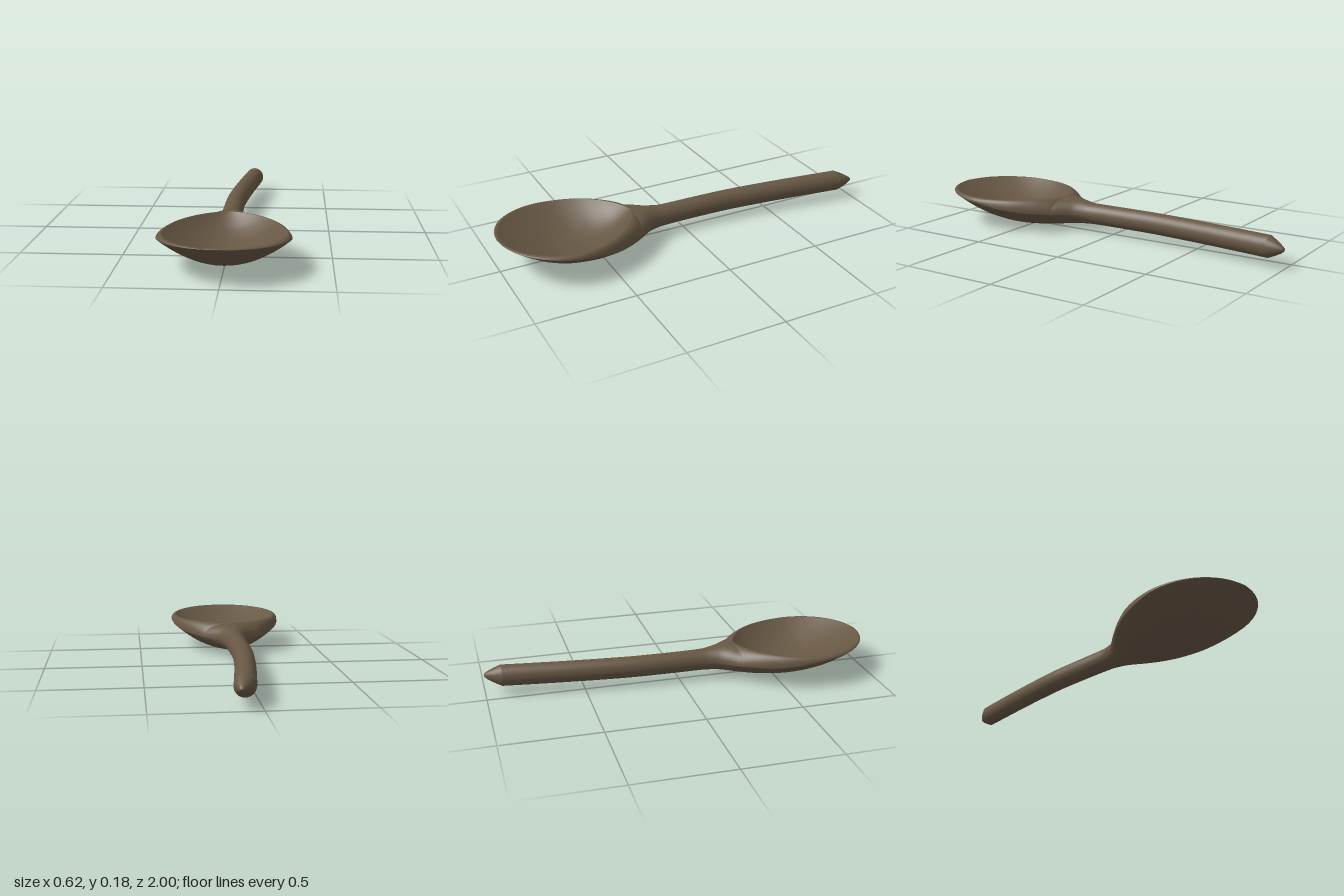
import * as THREE from 'three';
import { mergeVertices } from 'three/addons/utils/BufferGeometryUtils.js';

// Smooth interpolation without overshoot through [z, value] keys.
function ramp(keys) {
  const n = keys.length;
  const slope = (i) => (keys[i + 1][1] - keys[i][1]) / (keys[i + 1][0] - keys[i][0]);
  const tangent = (i) => {
    if (i === 0) return slope(0);
    if (i === n - 1) return slope(n - 2);
    const a = slope(i - 1), b = slope(i);
    return a * b <= 0 ? 0 : (2 * a * b) / (a + b);
  };
  return (z) => {
    if (z <= keys[0][0]) return keys[0][1];
    if (z >= keys[n - 1][0]) return keys[n - 1][1];
    let i = 0;
    while (z > keys[i + 1][0]) i++;
    const h = keys[i + 1][0] - keys[i][0], t = (z - keys[i][0]) / h;
    const t2 = t * t, t3 = t2 * t;
    return (2 * t3 - 3 * t2 + 1) * keys[i][1] + (t3 - 2 * t2 + t) * h * tangent(i)
      + (3 * t2 - 2 * t3) * keys[i + 1][1] + (t3 - t2) * h * tangent(i + 1);
  };
}

// Skin closed rings that run towards +z, each counterclockwise seen from +z.
function loft(rings) {
  const m = rings[0].length, index = [];
  for (let i = 0; i < rings.length - 1; i++) {
    for (let j = 0; j < m; j++) {
      const k = (j + 1) % m;
      const a = i * m + j, b = i * m + k, c = a + m, d = b + m;
      index.push(a, b, c, b, d, c);
    }
  }
  const geometry = new THREE.BufferGeometry();
  geometry.setAttribute('position', new THREE.Float32BufferAttribute(rings.flat(2), 3));
  geometry.setIndex(index);
  const merged = mergeVertices(geometry, 1e-4);
  merged.computeVertexNormals();
  return merged;
}

// Spoon profile along its length
const centre = ramp([[-0.92, 0.075], [-0.8, 0.059], [-0.6, 0.034], [-0.4, 0.013], [-0.2, -0.001], [0, -0.003], [0.2, 0]]);
const backWidth = ramp([[-0.1, 0.052], [0.05, 0.053], [0.13, 0.057], [0.2, 0.076], [0.25, 0.112], [0.3, 0.155],
  [0.4, 0.225], [0.5, 0.275], [0.6, 0.302], [0.68, 0.31], [0.72, 0.308]]);
const topY = ramp([[0, 0.152], [0.12, 0.153], [0.2, 0.164], [0.28, 0.174], [0.4, 0.173], [0.6, 0.17], [0.8, 0.174], [1, 0.18]]);
const edgeY = ramp([[0, 0.097], [0.2, 0.097], [0.4, 0.106], [0.55, 0.124], [0.68, 0.146], [0.85, 0.163], [1, 0.177]]);
const bottomY = ramp([[0, 0.042], [0.1, 0.042], [0.2, 0.037], [0.3, 0.024], [0.4, 0.011], [0.53, 0.002], [0.6, 0.005],
  [0.7, 0.019], [0.8, 0.052], [0.9, 0.106], [1, 0.176]]);
const depth = ramp([[0.3, 0], [0.35, 0.042], [0.4, 0.075], [0.5, 0.11], [0.6, 0.122], [0.7, 0.114], [0.8, 0.086], [0.9, 0.046], [0.99, 0]]);
const roundness = ramp([[0.1, 1], [0.3, 1.5], [0.5, 2]]);

const arc = (t, power = 0.5) => Math.pow(Math.max(0, 1 - t * t), power);
const width = (z) => (z < 0.68 ? backWidth(z) : 0.31 * arc((z - 0.68) / 0.32));
const hollow = (z) => 0.285 * (z < 0.68 ? arc((0.68 - z) / 0.38, 0.65) : arc((z - 0.68) / 0.31));

// Cross-section: rounded rim, dished hollow, second rim, then the underside
function section(z) {
  const cx = centre(z), w = width(z), inner = Math.min(hollow(z), w);
  const top = topY(z), edge = edgeY(z), dip = depth(z), low = bottomY(z), p = roundness(z);
  const ring = [];
  const RIM = 8, DISH = 28, UNDER = 28;
  const rim = (a, side) => ring.push([cx + side * (inner + (w - inner) * Math.cos(a)), edge + (top - edge) * Math.sin(a), z]);
  for (let i = 0; i <= RIM; i++) rim((i / RIM) * Math.PI / 2, 1);
  for (let i = 1; i < DISH; i++) {
    const u = Math.cos((i / DISH) * Math.PI);
    ring.push([cx + inner * u, top - dip * (1 - u * u), z]);
  }
  for (let i = RIM; i >= 0; i--) rim((i / RIM) * Math.PI / 2, -1);
  for (let i = 1; i < UNDER; i++) {
    const a = (i / UNDER) * Math.PI;
    ring.push([cx - w * Math.cos(a), edge - (edge - low) * Math.pow(Math.sin(a), p), z]);
  }
  return ring;
}

function ellipseRing(cx, cy, z, rx, ry) {
  return Array.from({ length: 32 }, (_, i) => {
    const a = (i / 32) * Math.PI * 2;
    return [cx + rx * Math.cos(a), cy + ry * Math.sin(a), z];
  });
}

export function createModel() {
  const group = new THREE.Group();
  const wood = new THREE.MeshStandardMaterial({ color: 0x675744 });
  wood.name = 'darkWood';
  const add = (name, geometry) => {
    const mesh = new THREE.Mesh(geometry, wood);
    mesh.name = name;
    group.add(mesh);
  };

  // Handle and bowl in one skin, with sections closer together at the bowl's ends
  const stations = [];
  for (let i = 0; i < 24; i++) stations.push(-0.915 + (i / 24) * 0.915);
  for (let i = 0; i < 20; i++) stations.push((i / 20) * 0.3);
  for (let i = 0; i <= 56; i++) stations.push(0.65 - 0.35 * Math.cos((i / 56) * Math.PI));
  add('spoonBody', loft(stations.map(section)));

  // Blunt pointed end of the handle, with a crisp edge where it meets the shaft
  const tip = [
    [0.097, 0.097, -1, 0, 0],
    [0.096, 0.097, -0.998, 0.012, 0.009],
    [0.093, 0.097, -0.985, 0.02, 0.019],
    [0.085, 0.097, -0.955, 0.037, 0.036],
    [0.0745, 0.097, -0.915, 0.052, 0.055],
  ];
  add('handleTip', loft(tip.map((r) => ellipseRing(...r))));

  return group;
}
